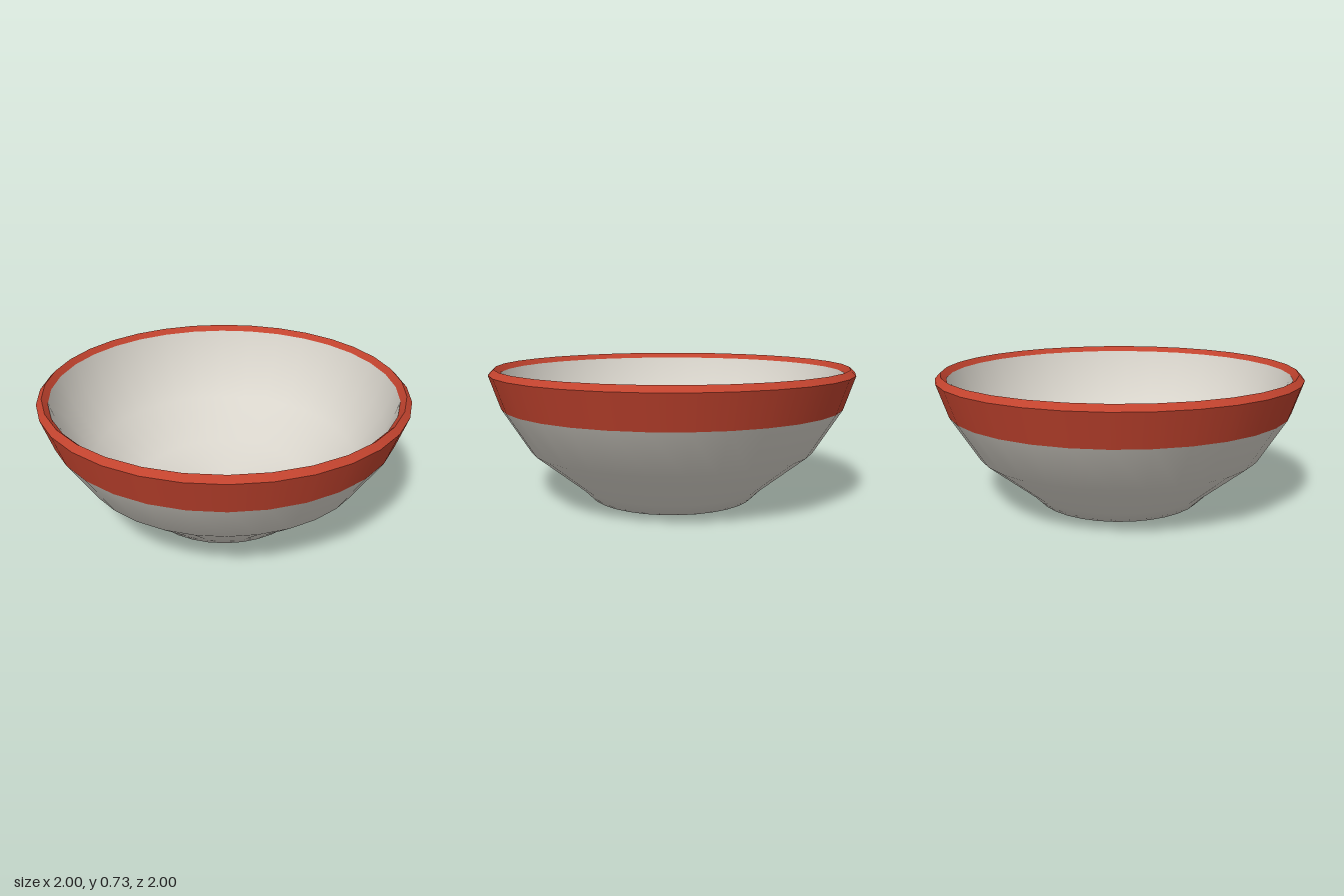
import * as THREE from 'three';

export function createModel() {
  const bowl = new THREE.Group();
  bowl.name = 'bowl';

  const glaze = new THREE.MeshStandardMaterial({ color: 0xd9d5cc });
  glaze.name = 'pale glaze';
  const red = new THREE.MeshStandardMaterial({ color: 0xc2432e });
  red.name = 'brick red';

  // Each part is a 32-sided turned strip; profiles run from base, over the rim, to the inside
  const turn = (name, profile, material) => {
    const points = profile.map(([r, y]) => new THREE.Vector2(r, y));
    const mesh = new THREE.Mesh(new THREE.LatheGeometry(points, 32), material);
    mesh.name = name;
    bowl.add(mesh);
  };

  // Base and outer wall
  turn('outerWall', [[0, 0], [0.46, 0], [0.53, 0.07], [0.79, 0.28], [0.94, 0.52]], glaze);

  // Painted band and the two bevels of the lip
  turn('rimBand', [[0.94, 0.52], [1, 0.7]], red);
  turn('outerLip', [[1, 0.7], [0.97, 0.73]], red);
  turn('innerLip', [[0.97, 0.73], [0.94, 0.7]], red);

  // Hollow inside
  turn('innerWall', [[0.94, 0.7], [0.88, 0.53], [0.74, 0.31], [0.48, 0.12], [0, 0.06]], glaze);

  return bowl;
}
